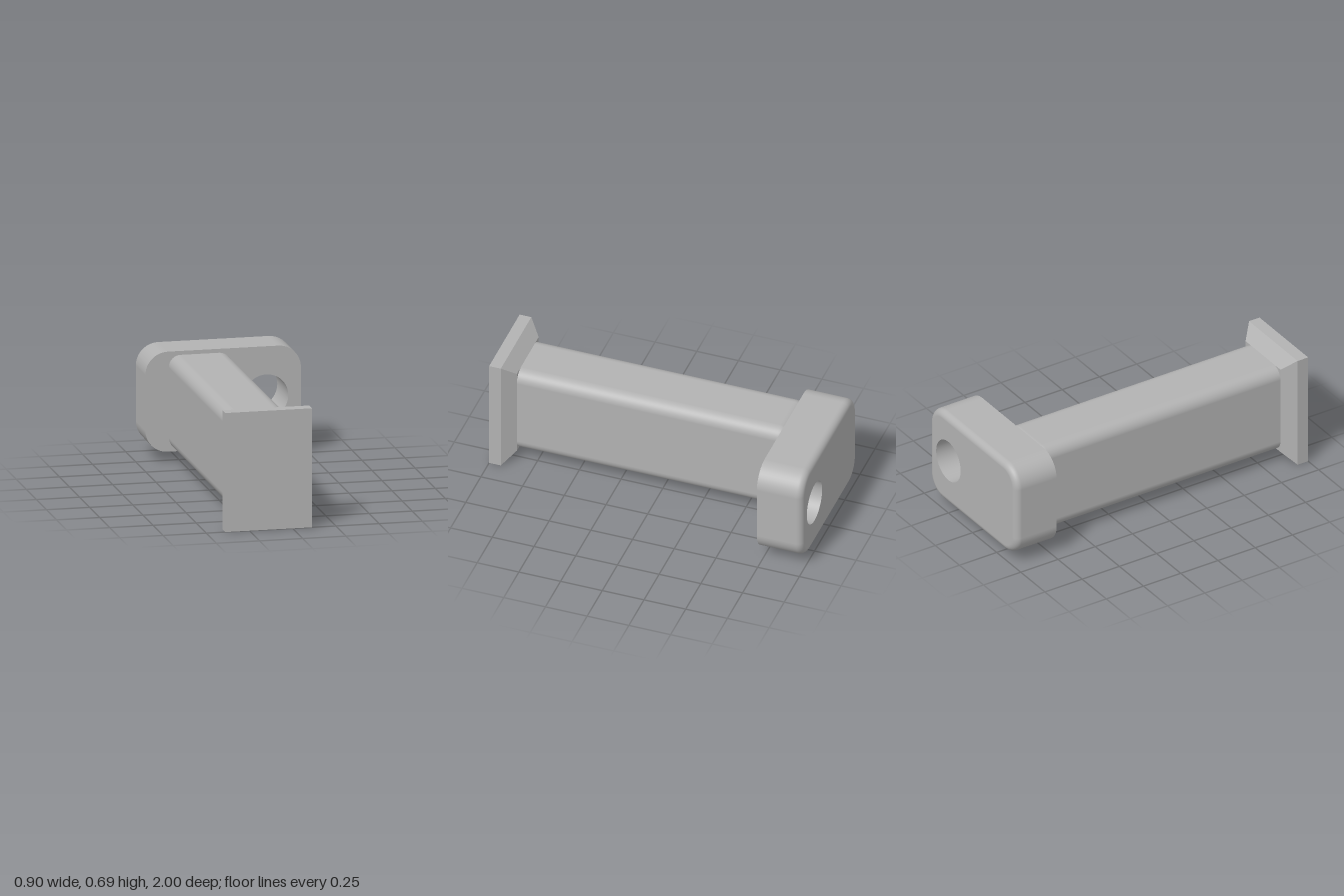
import * as THREE from 'three';

// Corner points of a rounded rectangle: position plus outward direction
function roundedRing(cx, cy, w, h, r, inset = 0, seg = 12) {
  const ring = [];
  const corners = [[1, 1], [-1, 1], [-1, -1], [1, -1]];
  corners.forEach(([sx, sy], k) => {
    for (let i = 0; i <= seg; i++) {
      const a = (k + i / seg) * Math.PI / 2;
      const c = Math.cos(a), s = Math.sin(a);
      ring.push({
        x: cx + sx * (w / 2 - r) + (r - inset) * c,
        y: cy + sy * (h / 2 - r) + (r - inset) * s,
        c, s,
      });
    }
  });
  return ring;
}

// Smooth wall along z with a quarter-round (radius f) at the back edge
function roundedWall(cx, cy, w, h, r, zFront, zBack, f) {
  const sections = [[zFront, 0, 0]];
  const steps = 8;
  for (let i = 0; i <= steps; i++) {
    const t = i / steps * Math.PI / 2;
    sections.push([zBack + f - f * Math.sin(t), f * (1 - Math.cos(t)), t]);
  }
  const pos = [], nor = [], idx = [];
  let n = 0;
  sections.forEach(([z, inset, t], j) => {
    const ring = roundedRing(cx, cy, w, h, r, inset);
    n = ring.length;
    ring.forEach((p, i) => {
      pos.push(p.x, p.y, z);
      nor.push(p.c * Math.cos(t), p.s * Math.cos(t), -Math.sin(t));
      if (j > 0) {
        const a = (j - 1) * n + i, b = (j - 1) * n + (i + 1) % n;
        idx.push(a, a + n, b, b, a + n, b + n);
      }
    });
  });
  const g = new THREE.BufferGeometry();
  g.setAttribute('position', new THREE.Float32BufferAttribute(pos, 3));
  g.setAttribute('normal', new THREE.Float32BufferAttribute(nor, 3));
  g.setIndex(idx);
  return g;
}

// Flat rounded face, optionally pierced by a hole
function face(ring, hole) {
  const shape = new THREE.Shape(ring.map(p => new THREE.Vector2(p.x, p.y)));
  if (hole) shape.holes.push(new THREE.Path().absarc(hole.x, hole.y, hole.r, 0, Math.PI * 2, true));
  return new THREE.ShapeGeometry(shape, 32);
}

export function createModel() {
  const model = new THREE.Group();
  model.name = 'squareHandle';
  const grey = new THREE.MeshStandardMaterial({ color: 0xb2b2b2 });
  grey.name = 'grey';
  const add = (name, geometry, parent = model) => {
    const m = new THREE.Mesh(geometry, grey);
    m.name = name;
    parent.add(m);
    return m;
  };

  const cy = 0.345;
  const shaftX = -0.139;

  // Back block with rounded rear rim and a through hole
  const block = new THREE.Group();
  block.name = 'backBlock';
  model.add(block);
  const hole = { x: 0.25, y: cy, r: 0.127 };
  const size = [0, cy, 0.9, 0.58, 0.13];
  const zf = -0.727, zb = -1, fillet = 0.04;
  add('blockWall', roundedWall(...size, zf, zb, fillet), block);
  add('blockFrontFace', face(roundedRing(...size), hole), block).position.z = zf;
  // mirrored outline turned half round so that it faces backwards
  const back = add('blockBackFace',
    face(roundedRing(...size, fillet), { ...hole, x: -hole.x }), block);
  back.rotation.y = Math.PI;
  back.position.z = zb;
  const bore = new THREE.LatheGeometry(
    [new THREE.Vector2(hole.r, zf), new THREE.Vector2(hole.r, zb)], 64);
  bore.rotateX(Math.PI / 2);
  bore.translate(hole.x, hole.y, 0);
  add('holeWall', bore, block);

  // Long shaft, its rounded end sunk into the block
  add('shaft', roundedWall(shaftX, cy, 0.362, 0.547, 0.07, 0.86, -0.76, 0.065));

  // Front plate
  const plate = add('frontPlate', new THREE.BoxGeometry(0.504, 0.69, 0.07));
  plate.position.set(shaftX, cy, 0.965);

  // Sloped collar between plate and shaft
  const collar = new THREE.BoxGeometry(0.504, 0.69, 0.07).toNonIndexed();
  const p = collar.attributes.position;
  for (let i = 0; i < p.count; i++) {
    if (p.getZ(i) < 0) {
      p.setX(i, Math.sign(p.getX(i)) * 0.181);
      p.setY(i, Math.sign(p.getY(i)) * 0.2735);
    }
  }
  collar.computeVertexNormals();
  add('collar', collar).position.set(shaftX, cy, 0.895);

  return model;
}
